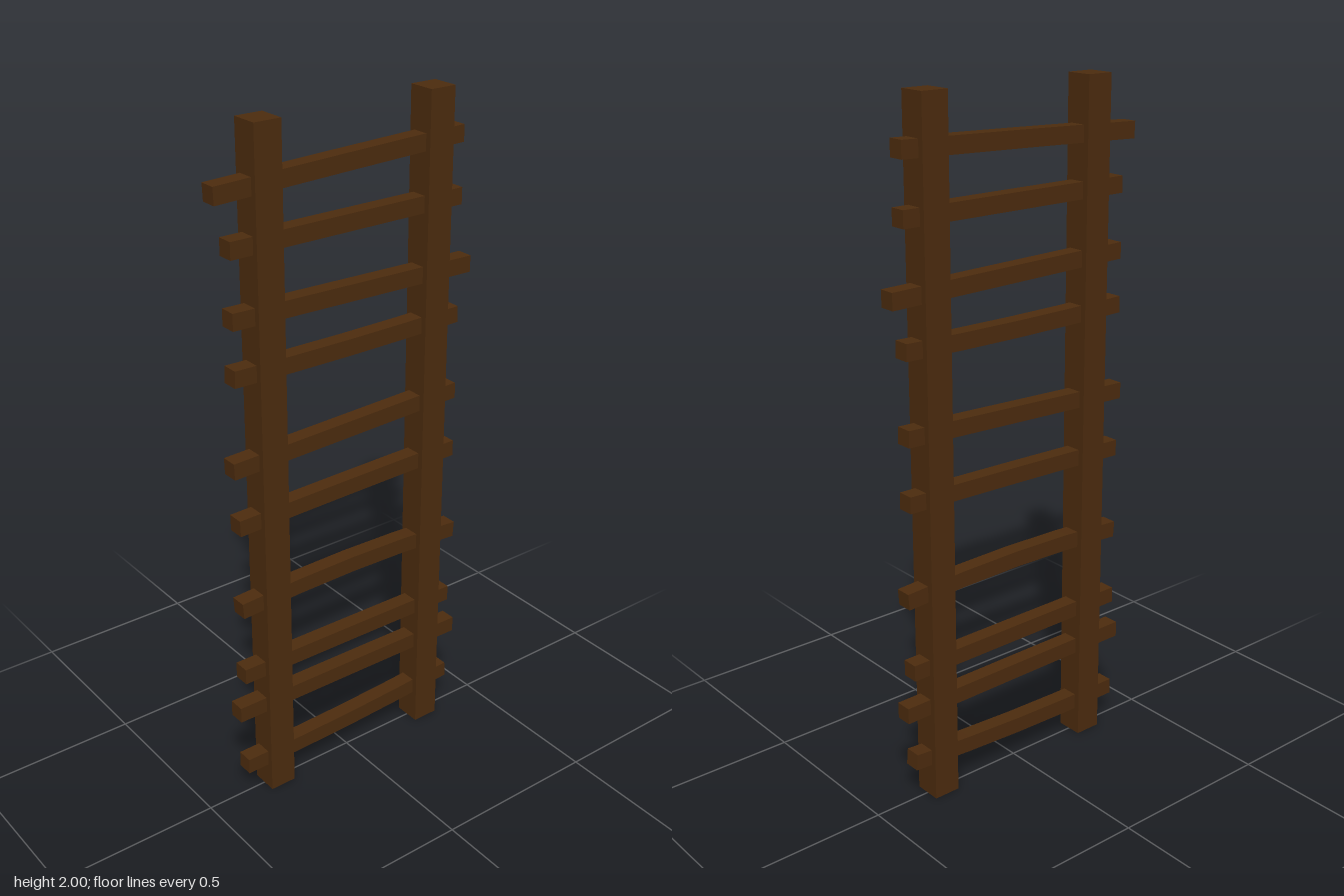
import * as THREE from 'three';

// Each rung: left end x, right end x, then the centre height at its left, middle and right
const RUNGS = [
  [-0.376, 0.376, 0.106, 0.110, 0.132],
  [-0.397, 0.402, 0.300, 0.297, 0.292],
  [-0.376, 0.376, 0.425, 0.422, 0.418],
  [-0.376, 0.390, 0.645, 0.658, 0.642],
  [-0.376, 0.376, 0.908, 0.917, 0.923],
  [-0.388, 0.376, 1.084, 1.097, 1.110],
  [-0.376, 0.376, 1.346, 1.341, 1.346],
  [-0.376, 0.416, 1.503, 1.495, 1.487],
  [-0.376, 0.376, 1.690, 1.690, 1.690],
  [-0.418, 0.376, 1.836, 1.850, 1.862],
];
const THICK = 0.048;

// Square bar bent along a shallow parabola, its sections kept square to the curve
function bentBar(x0, x1, yL, yM, yR) {
  const length = x1 - x0;
  const geo = new THREE.BoxGeometry(length, THICK, THICK, 4, 1, 1);
  const pos = geo.attributes.position;
  for (let i = 0; i < pos.count; i++) {
    const s = pos.getX(i) / (length / 2); // -1 at the left end, 1 at the right
    const v = pos.getY(i);
    const lin = (yR - yL) / 2;
    const quad = (yL + yR) / 2 - yM;
    const slope = (lin + 2 * quad * s) / (length / 2);
    pos.setX(i, (x0 + x1) / 2 + pos.getX(i) - v * slope);
    pos.setY(i, yM + lin * s + quad * s * s + v);
  }
  geo.computeVertexNormals();
  return geo;
}

export function createModel() {
  const model = new THREE.Group();
  model.name = 'ladder';
  const wood = new THREE.MeshStandardMaterial({ color: 0x4d2c0e, flatShading: true });

  // Upright rails
  for (const [name, x] of [['rightRail', -0.268], ['leftRail', 0.284]]) {
    const rail = new THREE.Mesh(new THREE.BoxGeometry(0.081, 2, 0.082), wood);
    rail.name = name;
    rail.position.set(x, 1, 0);
    model.add(rail);
  }

  // Uneven rungs passing through both rails
  RUNGS.forEach((r, i) => {
    const rung = new THREE.Mesh(bentBar(...r), wood);
    rung.name = `rung${i + 1}`;
    model.add(rung);
  });

  return model;
}
